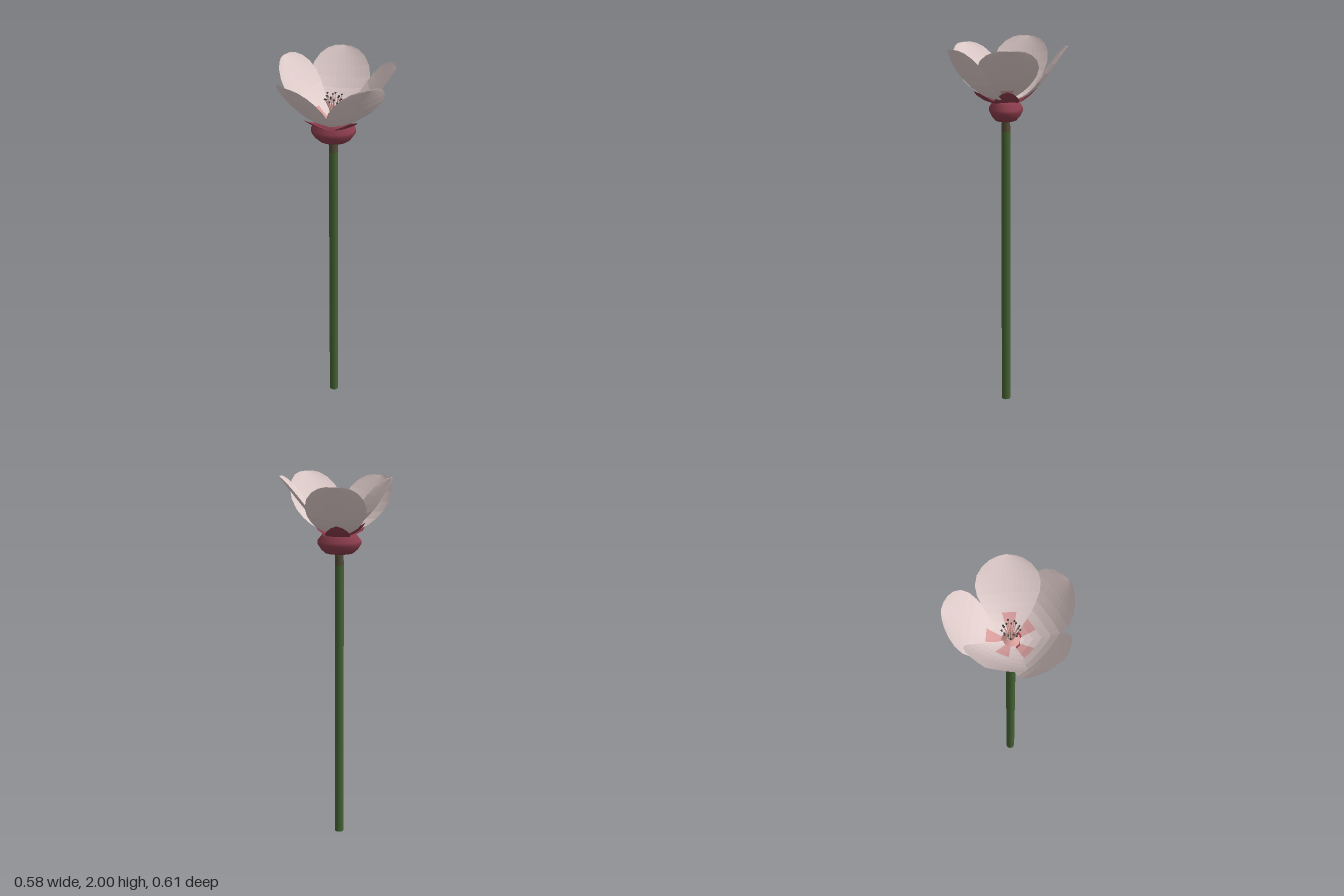
import * as THREE from 'three';

const mat = (name, color, side = THREE.FrontSide) => {
  const m = new THREE.MeshStandardMaterial({ color, side });
  m.name = name;
  return m;
};

// Faceted surface from a grid of rows; pick(i, j) gives the material index of a cell
function gridSurface(rows, pick = () => 0) {
  const cells = [[], []];
  for (let i = 0; i < rows.length - 1; i++) {
    for (let j = 0; j < rows[0].length - 1; j++) {
      const a = rows[i][j], b = rows[i][j + 1], c = rows[i + 1][j + 1], d = rows[i + 1][j];
      cells[pick(i, j)].push(a, c, b, a, d, c);
    }
  }
  const geo = new THREE.BufferGeometry().setFromPoints([...cells[0], ...cells[1]]);
  geo.addGroup(0, cells[0].length, 0);
  geo.addGroup(cells[0].length, cells[1].length, 1);
  geo.computeVertexNormals();
  return geo;
}

// Spines: distance from the axis, height, half width
const PETAL = [
  [0.015, 1.706, 0.022], [0.05, 1.722, 0.048], [0.085, 1.746, 0.078], [0.118, 1.772, 0.104],
  [0.155, 1.805, 0.128], [0.19, 1.84, 0.147], [0.225, 1.88, 0.154], [0.258, 1.918, 0.142],
  [0.285, 1.949, 0.113], [0.303, 1.969, 0.077], [0.313, 1.979, 0.04], [0.316, 1.982, 0.006],
];
const SEPAL = [
  [0.06, 1.685, 0.058], [0.1, 1.7, 0.066], [0.135, 1.725, 0.054], [0.16, 1.748, 0.03], [0.175, 1.762, 0.003],
];

// Leaf-like blade growing along +x: edges cupped up and inward, spine sagging into a bowl
function blade(profile, segments, { cup, length, rise = 1, sag = 0 }) {
  return profile.map(([r, y, w]) => Array.from({ length: segments + 1 }, (_, j) => {
    const u = (j / segments) * 2 - 1;
    const lift = cup * u * u * (w / 0.15);
    const height = 1.7 + (y - 1.7) * rise - sag * Math.sin((r / 0.316) * Math.PI);
    return new THREE.Vector3(r * length - lift * 0.6, height + lift * 0.7, u * w);
  }));
}

export function createModel() {
  const petalMat = mat('pale petal', 0xdfcccb, THREE.DoubleSide);
  const blushMat = mat('pink blush', 0xd69b9b, THREE.DoubleSide);
  const calyxMat = mat('crimson calyx', 0x8a3c4b, THREE.DoubleSide);
  const stemMat = mat('green stem', 0x456233);
  const neckMat = mat('brown stem top', 0x524c36);
  const filamentMat = mat('pink filament', 0xd9a09a);
  const antherMat = mat('dark anther', 0x36423c);

  const group = new THREE.Group();
  group.name = 'flower';
  const plant = new THREE.Group();
  plant.name = 'plant';
  plant.position.set(-0.02, 0, 0.015);
  group.add(plant);
  const add = (name, geo, material, parent = plant) => {
    const mesh = new THREE.Mesh(geo, material);
    mesh.name = name;
    parent.add(mesh);
    return mesh;
  };

  // Stem with a brownish top
  add('stem', new THREE.CylinderGeometry(0.024, 0.024, 1.53, 12), stemMat).position.y = 0.765;
  add('stemTop', new THREE.CylinderGeometry(0.021, 0.024, 0.07, 12), neckMat).position.y = 1.565;

  // Swollen flower base, flattened front to back
  const base = [[0, 1.587], [0.075, 1.595], [0.095, 1.612], [0.115, 1.642], [0.114, 1.66],
    [0.094, 1.685], [0.088, 1.695], [0.05, 1.702], [0, 1.704]].map(p => new THREE.Vector2(...p));
  add('flowerBase', new THREE.LatheGeometry(base, 16), calyxMat).scale.z = 0.77;

  // Five petals with a sepal hugging each from below
  const petals = [
    { deg: -87, length: 1.01, rise: 1.0, sag: 0.045, sepal: 0.92 },
    { deg: -158, length: 0.89, rise: 1.06, sag: 0.03, sepal: 0.82 },
    { deg: 131, length: 1.0, rise: 0.95, sag: 0.045, sepal: 1.1 },
    { deg: 53, length: 1.02, rise: 1.0, sag: 0.05, sepal: 1.1 },
    { deg: -6, length: 0.97, rise: 1.03, sag: 0.01, sepal: 0.82 },
  ];
  petals.forEach(({ deg, length, rise, sag, sepal }, k) => {
    const angle = -THREE.MathUtils.degToRad(deg);
    const petalGeo = gridSurface(blade(PETAL, 12, { cup: 0.026, length, rise, sag }),
      (i, j) => (i < 3 && j > 3 && j < 8 ? 1 : 0));
    add('petal' + (k + 1), petalGeo, [petalMat, blushMat]).rotation.y = angle;
    const sepalGeo = gridSurface(blade(SEPAL, 4, { cup: 0.015, length: sepal }));
    add('sepal' + (k + 1), sepalGeo, [calyxMat, calyxMat]).rotation.y = angle;
  });

  // Pink heart of the flower
  add('heart', new THREE.CylinderGeometry(0.02, 0.045, 0.022, 12), filamentMat).position.y = 1.714;

  // Stamens: curved filaments tipped with small dark anthers
  const stamens = new THREE.Group();
  stamens.name = 'stamens';
  plant.add(stamens);
  const count = 18;
  for (let i = 0; i < count; i++) {
    const a = (i / count) * Math.PI * 2;
    const r = 0.034 + 0.01 * (i % 2);
    const top = 1.815 + 0.012 * (i % 3);
    const at = (radius, y) => new THREE.Vector3(Math.cos(a) * radius, y, Math.sin(a) * radius);
    const curve = new THREE.CatmullRomCurve3([at(0.012, 1.715), at(0.02, 1.765), at(r, top)]);
    add('filament', new THREE.TubeGeometry(curve, 5, 0.002, 4), filamentMat, stamens);
    const anther = add('anther', new THREE.SphereGeometry(0.005, 6, 4), antherMat, stamens);
    anther.position.copy(at(r, top));
    anther.scale.set(1.2, 0.8, 1);
  }

  // Pistil
  add('pistil', new THREE.CylinderGeometry(0.003, 0.006, 0.11, 6), filamentMat).position.y = 1.765;
  add('stigma', new THREE.SphereGeometry(0.005, 6, 4), filamentMat).position.y = 1.82;

  return group;
}
